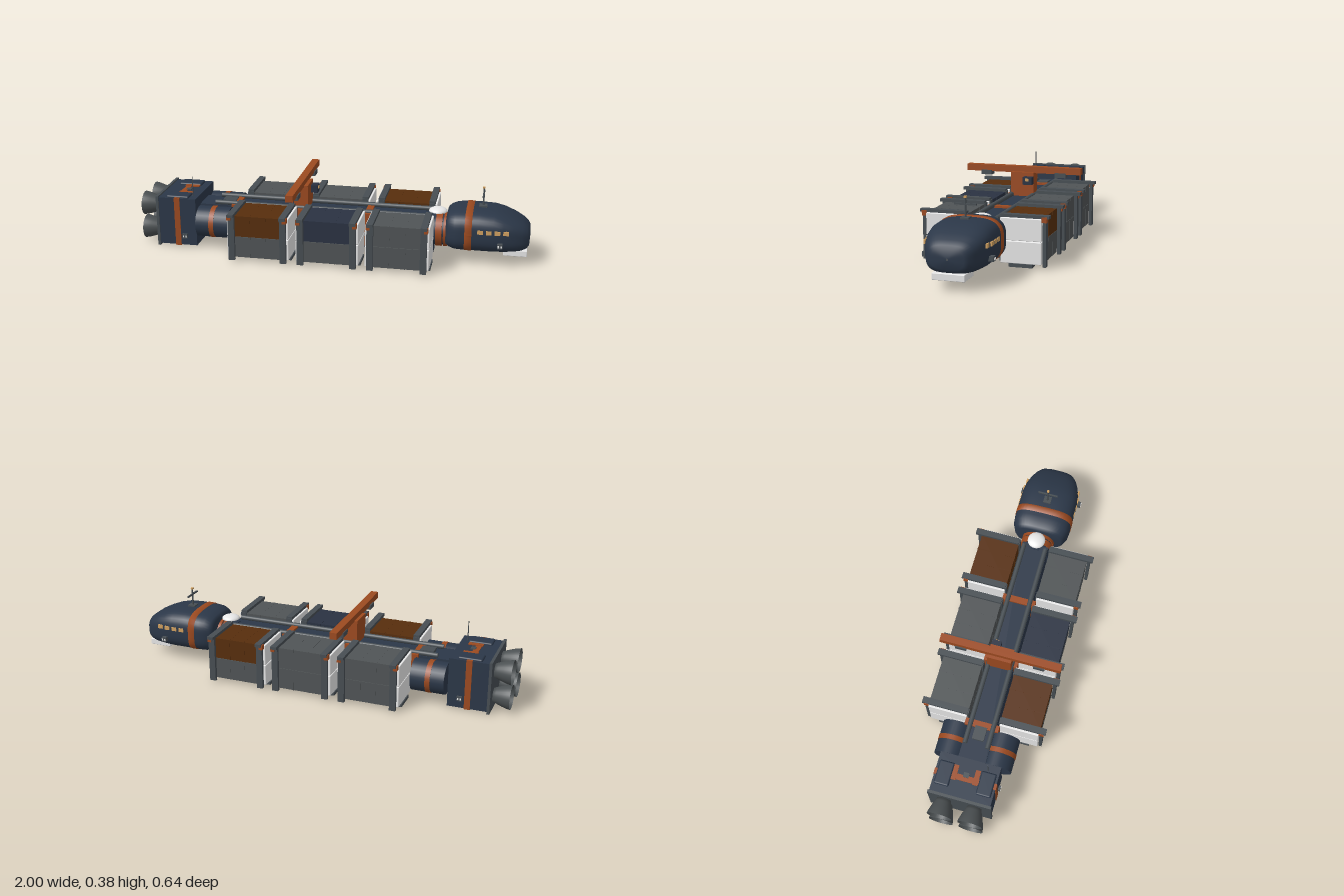
import * as THREE from 'three';
import { RoundedBoxGeometry } from 'three/addons/geometries/RoundedBoxGeometry.js';

const mat = (name, color, side = THREE.FrontSide) => {
  const m = new THREE.MeshStandardMaterial({ color, side });
  m.name = name;
  return m;
};

export function createModel() {
  const ship = new THREE.Group();
  ship.name = 'cargoShip';
  const navy = mat('navyHull', 0x2b3748);
  const orange = mat('rustOrange', 0x9c4a20);
  const steel = mat('darkSteel', 0x474e53);
  const grey = mat('containerGrey', 0x505456);
  const white = mat('paleWhite', 0xf0f0f0, THREE.DoubleSide);
  const brown = mat('containerBrown', 0x572e0c);
  const blue = mat('containerBlue', 0x2a3242);
  const amber = mat('amberWindow', 0xd0a060);
  const bellGrey = mat('bellGrey', 0x4b5052, THREE.DoubleSide);

  const add = (name, geo, m, x = 0, y = 0, z = 0, parent = ship) => {
    const mesh = new THREE.Mesh(geo, m);
    mesh.name = name;
    mesh.position.set(x, y, z);
    parent.add(mesh);
    return mesh;
  };
  // Box given by its extents on each axis
  const box = (name, m, x0, x1, y0, y1, z0, z1, parent = ship) =>
    add(name, new THREE.BoxGeometry(x1 - x0, y1 - y0, z1 - z0), m,
      (x0 + x1) / 2, (y0 + y1) / 2, (z0 + z1) / 2, parent);
  // Cylinder lying along x
  const tubeX = (name, m, x0, x1, r, y, z, parent = ship) =>
    add(name, new THREE.CylinderGeometry(r, r, x1 - x0, 28).rotateZ(Math.PI / 2), m, (x0 + x1) / 2, y, z, parent);

  // Hull skin lofted along x; station = [x, bottom, top, halfWidth]
  const loft = (stations, n = 56, power = 3.2) => {
    const pos = [], idx = [];
    const ring = n + 1;
    for (const [x, b, t, w] of stations) {
      for (let i = 0; i <= n; i++) {
        const a = (i / n) * Math.PI * 2, c = Math.cos(a), s = Math.sin(a);
        const k = Math.pow(Math.pow(Math.abs(c), power) + Math.pow(Math.abs(s), power), -1 / power);
        pos.push(x, (b + t) / 2 + (s * k * (t - b)) / 2, c * k * w);
      }
    }
    for (let j = 0; j < stations.length - 1; j++) {
      for (let i = 0; i < n; i++) {
        const p = j * ring + i, q = p + ring;
        idx.push(p, q, p + 1, p + 1, q, q + 1);
      }
    }
    const g = new THREE.BufferGeometry();
    g.setAttribute('position', new THREE.Float32BufferAttribute(pos, 3));
    g.setIndex(idx);
    g.computeVertexNormals();
    return g;
  };

  // Command module
  const head = new THREE.Group();
  head.name = 'commandModule';
  ship.add(head);
  add('hull', loft([
    [0.585, 0.16, 0.17, 0.005], [0.585, 0.085, 0.245, 0.12], [0.6, 0.075, 0.26, 0.135],
    [0.63, 0.067, 0.271, 0.149], [0.66, 0.066, 0.274, 0.152], [0.75, 0.066, 0.277, 0.152],
    [0.82, 0.066, 0.274, 0.152], [0.87, 0.068, 0.262, 0.146], [0.92, 0.07, 0.243, 0.132],
    [0.96, 0.075, 0.223, 0.113], [0.985, 0.085, 0.205, 0.094], [0.997, 0.1, 0.188, 0.075],
    [1.0, 0.14, 0.15, 0.005]]), navy, 0, 0, 0, head);
  add('hullBand', loft([
    [0.68, 0.08, 0.26, 0.14], [0.68, 0.064, 0.278, 0.1545],
    [0.715, 0.064, 0.279, 0.1545], [0.715, 0.08, 0.26, 0.14]]), orange, 0, 0, 0, head);
  add('chinPlate', new RoundedBoxGeometry(0.118, 0.032, 0.152, 2, 0.003), white, 0.931, 0.064, 0, head);
  for (const s of [-1, 1]) {
    for (let i = 0; i < 4; i++) {
      const x = 0.757 + i * 0.042;
      add('window', new THREE.BoxGeometry(0.028, 0.02, 0.009), amber, x, 0.191, s * (i < 3 ? 0.15 : 0.144), head);
    }
    add('thrusterPod', new THREE.BoxGeometry(0.026, 0.024, 0.03), steel, 0.856, 0.128, s * 0.152, head);
    for (const dx of [-0.007, 0.007])
      add('thrusterNozzle', new THREE.BoxGeometry(0.007, 0.01, 0.004), white, 0.856 + dx, 0.128, s * 0.168, head);
  }
  box('mastFoot', steel, 0.74, 0.78, 0.274, 0.284, -0.02, 0.02, head);
  add('mast', new THREE.CylinderGeometry(0.004, 0.005, 0.1, 10), steel, 0.76, 0.325, 0, head);
  box('mastCrossbar', steel, 0.756, 0.764, 0.338, 0.346, -0.052, 0.052, head);
  box('mastLight', amber, 0.754, 0.766, 0.371, 0.379, -0.006, 0.006, head);

  // Neck with dish
  tubeX('neck', navy, 0.49, 0.6, 0.08, 0.14, 0);
  tubeX('neckRing', orange, 0.53, 0.562, 0.087, 0.14, 0);
  tubeX('neckRing', orange, 0.57, 0.588, 0.087, 0.14, 0);
  add('dishStem', new THREE.CylinderGeometry(0.012, 0.014, 0.03, 10), steel, 0.535, 0.225, 0);
  add('dish', new THREE.SphereGeometry(0.047, 24, 8, 0, Math.PI * 2, 0, Math.PI / 2).scale(1, 0.45, 1), white, 0.535, 0.236, 0);

  // Spine, rails and rings
  box('spine', navy, -0.7, 0.52, 0.06, 0.215, -0.07, 0.07);
  box('keelStrip', navy, -0.5, 0.52, 0.022, 0.06, -0.035, 0.035);
  for (const s of [-1, 1]) {
    tubeX('spineRail', steel, -0.62, 0.5, 0.012, 0.226, s * 0.058);
    tubeX('lowerRail', steel, -0.52, 0.5, 0.01, 0.06, s * 0.06);
  }
  for (const x of [-0.51, -0.16, 0.185])
    box('spineRing', orange, x - 0.017, x + 0.017, 0.052, 0.225, -0.087, 0.087);
  box('spineHatch', steel, -0.59, -0.52, 0.2, 0.23, -0.03, 0.03);

  // Cargo bays: six stacked container pairs in end frames
  const bays = [[-0.336, brown, grey], [0.016, blue, grey], [0.365, grey, brown]];
  for (const [cx, frontM, rearM] of bays) {
    box('keelClamp', steel, cx - 0.07, cx + 0.07, 0.02, 0.07, -0.085, 0.085);
    for (const s of [1, -1]) {
      const bay = new THREE.Group();
      bay.name = 'cargoBay';
      bay.position.set(cx, 0, s * 0.185);
      ship.add(bay);
      const top = s > 0 ? frontM : rearM;
      for (const [y, m] of [[0.186, top], [0.076, grey]]) {
        add('container', new THREE.BoxGeometry(0.25, 0.108, 0.202), m, 0, y, 0, bay);
        for (const rx of [-0.04, 0.04])
          add('containerRib', new THREE.BoxGeometry(0.005, 0.109, 0.205), m, rx, y, 0, bay);
        add('endCap', new RoundedBoxGeometry(0.316, 0.107, 0.2, 2, 0.003), white, 0, y, 0, bay);
      }
      for (const e of [-1, 1]) {
        const x0 = e * 0.132 - 0.016, x1 = e * 0.132 + 0.016;
        const zo = s * 0.112;
        box('framePost', steel, x0, x1, 0.01, 0.245, zo - 0.008, zo + 0.008, bay);
        box('innerPost', steel, x0, x1, 0.03, 0.245, -s * 0.1 - 0.006, -s * 0.1 + 0.006, bay);
        add('frameTop', new THREE.BoxGeometry(0.032, 0.015, 0.235), steel, e * 0.132, 0.2475, s * 0.0165, bay);
        add('frameFoot', new THREE.BoxGeometry(0.05, 0.016, 0.115), steel, e * 0.137, 0.014, 0, bay);
        add('cornerLock', new THREE.BoxGeometry(0.02, 0.026, 0.024), orange, e * 0.142, 0.236, zo, bay);
      }
    }
  }

  // Gantry crane
  const crane = new THREE.Group();
  crane.name = 'gantryCrane';
  ship.add(crane);
  box('craneTower', orange, -0.2, -0.127, 0.22, 0.345, -0.062, 0.062, crane);
  box('craneBeam', orange, -0.184, -0.146, 0.34, 0.374, -0.311, 0.311, crane);
  for (const s of [-1, 1])
    add('trolley', new THREE.BoxGeometry(0.05, 0.024, 0.058), steel, -0.165, 0.334, s * 0.202, crane);
  box('craneCab', blue, -0.13, -0.092, 0.285, 0.325, -0.062, -0.013, crane);
  box('cabWindow', amber, -0.093, -0.088, 0.305, 0.318, -0.045, -0.028, crane);

  // Fuel tanks
  for (const s of [-1, 1]) {
    tubeX('fuelTank', navy, -0.69, -0.52, 0.08, 0.14, s * 0.12);
    tubeX('tankBand', orange, -0.62, -0.595, 0.082, 0.14, s * 0.12);
  }

  // Engine block
  const engine = new THREE.Group();
  engine.name = 'engineBlock';
  ship.add(engine);
  box('engineHull', navy, -0.9, -0.7, 0.012, 0.264, -0.154, 0.154, engine);
  box('enginePlate', steel, -0.912, -0.898, 0.002, 0.271, -0.16, 0.16, engine);
  box('engineBand', orange, -0.815, -0.785, 0.008, 0.267, -0.157, 0.157, engine);
  box('topHatch', orange, -0.82, -0.745, 0.26, 0.269, -0.07, -0.045, engine);
  box('topHatch', orange, -0.82, -0.745, 0.26, 0.269, 0.04, 0.065, engine);
  box('hatchInset', steel, -0.795, -0.77, 0.262, 0.27, -0.014, 0.014, engine);
  for (const s of [-1, 1]) {
    add('topFairing', new RoundedBoxGeometry(0.12, 0.024, 0.075, 3, 0.008), navy, -0.8, 0.262, s * 0.106, engine);
    add('thrusterPod', new THREE.BoxGeometry(0.026, 0.024, 0.014), steel, -0.762, 0.062, s * 0.158, engine);
    for (const dx of [-0.007, 0.007])
      add('thrusterNozzle', new THREE.BoxGeometry(0.007, 0.01, 0.004), white, -0.762 + dx, 0.062, s * 0.165, engine);
  }
  add('whipAntenna', new THREE.CylinderGeometry(0.002, 0.003, 0.105, 8), steel, -0.73, 0.315, 0.095, engine);

  // Four flared engine bells
  const bell = new THREE.LatheGeometry(
    [[0.001, 0], [0.033, 0], [0.041, 0.02], [0.052, 0.05], [0.059, 0.075], [0.062, 0.092]]
      .map(p => new THREE.Vector2(...p)), 32).rotateZ(Math.PI / 2);
  for (const y of [0.073, 0.203])
    for (const z of [-0.077, 0.077]) add('engineBell', bell, bellGrey, -0.908, y, z, engine);

  return ship;
}
